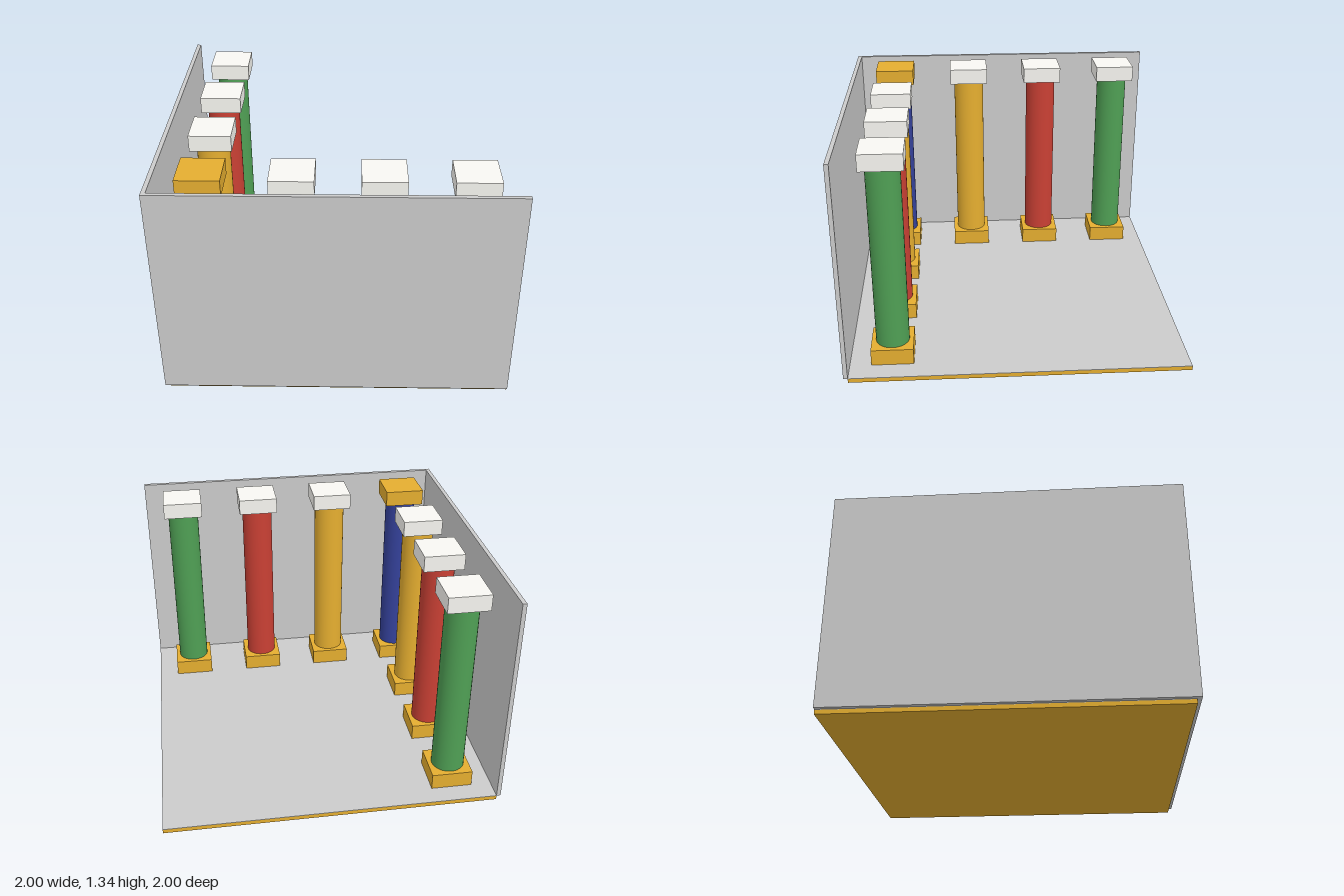
import * as THREE from 'three';

const mat = (color) => new THREE.MeshStandardMaterial({ color });

export function createModel() {
  const model = new THREE.Group();
  const grey = mat(0xcccccc), ochre = mat(0xe5ae30), white = mat(0xf8f7f2);
  const green = mat(0x4f9f54), red = mat(0xc94034), yellow = ochre, blue = mat(0x35429c);

  // Box given by its minimum and maximum corners
  function box(name, material, [x0, y0, z0], [x1, y1, z1], parent = model) {
    const mesh = new THREE.Mesh(new THREE.BoxGeometry(x1 - x0, y1 - y0, z1 - z0), material);
    mesh.position.set((x0 + x1) / 2, (y0 + y1) / 2, (z0 + z1) / 2);
    mesh.name = name;
    parent.add(mesh);
  }

  // Floor slab with a thin grey surface, and two walls meeting in a corner
  const top = 1.335, wall = 0.975;
  box('floorSlab', ochre, [-wall, 0, -1], [1, 0.024, wall]);
  box('floorSurface', grey, [-wall, 0.024, -1], [1, 0.027, wall]);
  box('frontWall', grey, [-1, 0.027, wall], [1, top, 1]);
  box('sideWall', grey, [-1, 0.027, -1], [-wall, top, wall]);

  // Round column between a square base and a square cap
  const half = 0.123, baseTop = 0.125, capBottom = 1.237;
  const shaftGeometry = new THREE.CylinderGeometry(0.098, 0.098, capBottom - baseTop, 32);
  function column(name, x, z, shaftMaterial, capMaterial) {
    const group = new THREE.Group();
    group.name = name;
    group.position.set(x, 0, z);
    box('base', ochre, [-half, 0.027, -half], [half, baseTop, half], group);
    box('cap', capMaterial, [-half, capBottom, -half], [half, top, half], group);
    const shaft = new THREE.Mesh(shaftGeometry, shaftMaterial);
    shaft.name = 'shaft';
    shaft.position.y = (baseTop + capBottom) / 2;
    group.add(shaft);
    model.add(group);
  }

  // Corner column, then a matching row along each wall
  const cx = -0.732, cz = 0.728, step = 0.495;
  column('cornerColumn', cx, cz, blue, ochre);
  [yellow, red, green].forEach((shaft, i) => {
    const d = step * (i + 1);
    column(`frontColumn${i + 1}`, cx + d, cz, shaft, white);
    column(`sideColumn${i + 1}`, cx, cz - d, shaft, white);
  });

  return model;
}
